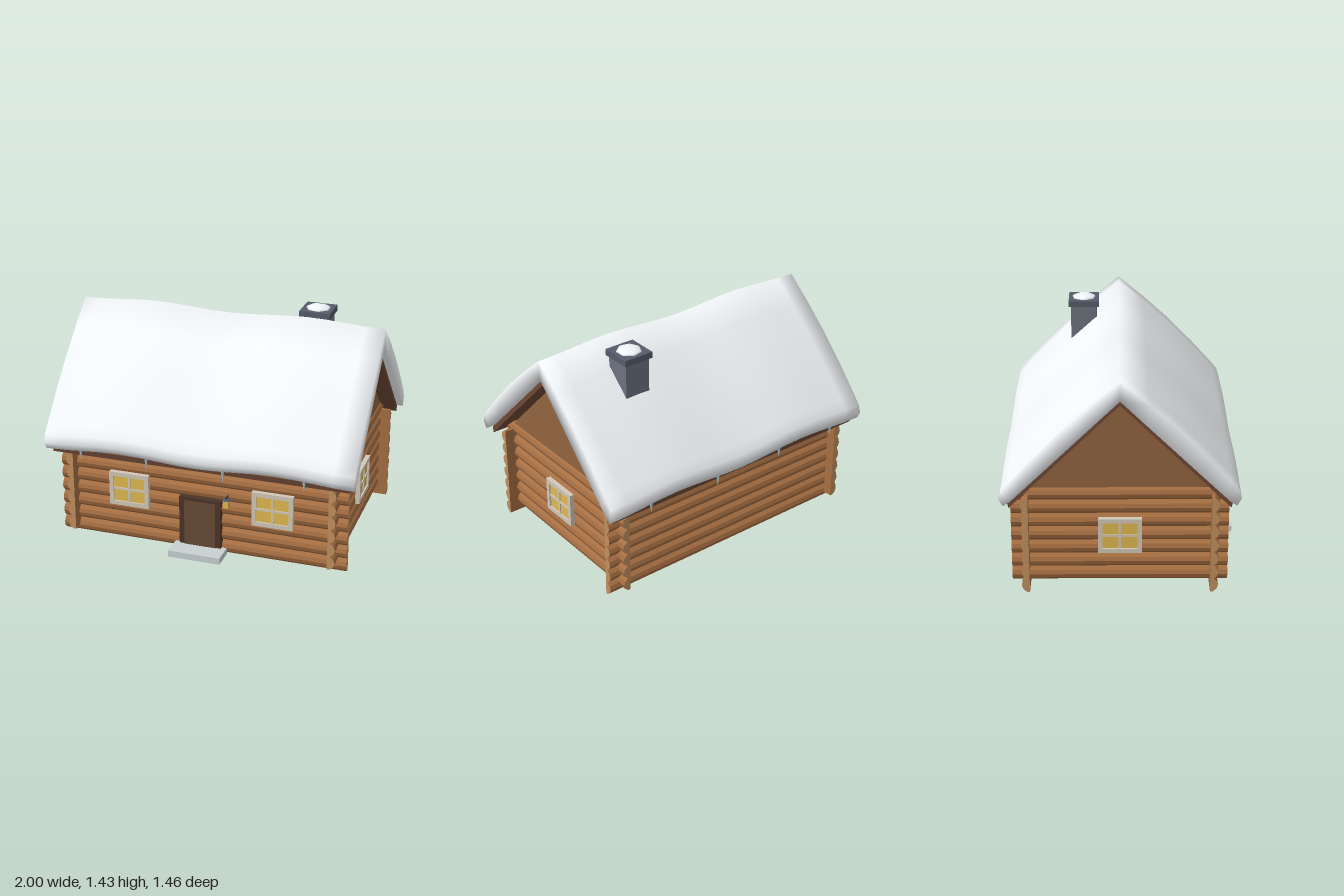
import * as THREE from 'three';

const mat = (color, extra = {}) => new THREE.MeshStandardMaterial({ color, ...extra });
const M = {
  wood: mat(0xa56e42), endGrain: mat(0xc0905f), gable: mat(0x91643f), board: mat(0x6e4834),
  snow: mat(0xf2f5f8), frame: mat(0xd2c8b8), glass: mat(0xe0b850), doorFrame: mat(0x4a3428),
  door: mat(0x684a38), stone: mat(0x6c7280), cap: mat(0x555c6a), step: mat(0xc8d0d2), ice: mat(0x9fc0d0),
};

function add(parent, name, geometry, material, x = 0, y = 0, z = 0) {
  const mesh = new THREE.Mesh(geometry, material);
  mesh.name = name;
  mesh.position.set(x, y, z);
  parent.add(mesh);
  return mesh;
}
const box = (parent, name, w, h, d, material, x, y, z) =>
  add(parent, name, new THREE.BoxGeometry(w, h, d), material, x, y, z);

function extrudePoints(points, depth) {
  const shape = new THREE.Shape(points.map(([x, y]) => new THREE.Vector2(x, y)));
  return new THREE.ExtrudeGeometry(shape, { depth, bevelEnabled: false }).translate(0, 0, -depth / 2);
}

// Log wall: scalloped outside, flat inside, seven logs high
function logWall(parent, name, length, inner, base, angle) {
  const h = 0.09, pts = [[inner, base]];
  for (let i = 0; i < 7; i++) {
    for (const [t, d] of [[0, 0.018], [0.22, 0.04], [0.5, 0.048], [0.78, 0.04]])
      pts.push([inner + d, base + (i + t) * h]);
  }
  pts.push([inner + 0.018, base + 7 * h], [inner, base + 7 * h]);
  add(parent, name, extrudePoints(pts, length), [M.endGrain, M.wood]).rotation.y = angle;
}

// Four-pane window facing +z, origin at its centre on the wall
function makeWindow(name) {
  const g = new THREE.Group(), w = 0.265, h = 0.228, t = 0.028;
  g.name = name;
  box(g, 'glass', w - t, h - t, 0.014, M.glass, 0, 0, 0);
  for (const s of [-1, 1]) {
    box(g, 'frameRail', w, t, 0.03, M.frame, 0, s * (h - t) / 2, 0.003);
    box(g, 'frameStile', t, h - 2 * t, 0.03, M.frame, s * (w - t) / 2, 0, 0.003);
  }
  box(g, 'mullion', 0.015, h - 2 * t, 0.022, M.frame, 0, 0, 0.003);
  box(g, 'crossbar', w - 2 * t, 0.015, 0.022, M.frame, 0, 0, 0.003);
  return g;
}

// Snow blanket: a chevron section swept along x, rising and dipping in two swells
function snowGeometry() {
  const top = [[0, 1.397], [0.17, 1.255], [0.34, 1.1], [0.52, 0.915], [0.655, 0.765], [0.7, 0.71], [0.716, 0.66]];
  const low = [[0, 1.275], [0.16, 1.118], [0.32, 0.961], [0.48, 0.804], [0.61, 0.677], [0.65, 0.638], [0.69, 0.612]];
  const full = (half) => [...half.slice(1).reverse().map(([z, y]) => [-z, y]), ...half];
  const T = full(top), B = full(low), n = T.length;
  const loop = [...T, ...B.reverse()], m = loop.length, segs = 16;
  const pos = [], idx = [];
  for (let i = 0; i <= segs; i++) {
    const x = -1 + 2 * i / segs;
    const swell = 0.0125 * (1 - Math.cos(2 * Math.PI * x));
    for (const [z, y] of loop) pos.push(x, y + swell, z);
  }
  for (let i = 0; i < segs; i++) {
    for (let j = 0; j < m; j++) {
      const a = i * m + j, b = i * m + (j + 1) % m;
      idx.push(a, b, a + m, b, b + m, a + m);
    }
  }
  // End faces share the rim vertices so the edges look soft
  const e = segs * m;
  for (let j = 0; j < n - 1; j++) {
    const p = m - 1 - j;
    idx.push(j, p, j + 1, j + 1, p, p - 1);
    idx.push(e + j, e + j + 1, e + p, e + j + 1, e + p - 1, e + p);
  }
  const g = new THREE.BufferGeometry();
  g.setAttribute('position', new THREE.Float32BufferAttribute(pos, 3));
  g.setIndex(idx);
  g.computeVertexNormals();
  return g;
}

export function createModel() {
  const root = new THREE.Group();
  root.name = 'logCabin';
  const house = new THREE.Group();
  house.name = 'house';
  house.position.z = -0.009;
  root.add(house);

  // Walls, with the long and short ones offset by half a log
  logWall(house, 'frontWall', 1.886, 0.548, 0, -Math.PI / 2);
  logWall(house, 'backWall', 1.886, 0.548, 0, Math.PI / 2);
  logWall(house, 'leftWall', 1.312, 0.836, 0.043, 0);
  logWall(house, 'rightWall', 1.312, 0.836, 0.043, Math.PI);

  // Gables
  for (const s of [-1, 1]) {
    const g = extrudePoints([[-0.548, 0.672], [0.548, 0.672], [0, 1.222]], 0.03).rotateY(Math.PI / 2);
    add(house, 'gable', g, M.gable, s * 0.857, 0, 0);
  }

  // Roof boards and snow
  const boards = extrudePoints([[0, 1.274], [-0.668, 0.62], [-0.66, 0.582], [0, 1.236], [0.66, 0.582], [0.668, 0.62]], 1.93);
  add(house, 'roofBoards', boards.rotateY(Math.PI / 2), M.board);
  add(house, 'roofSnow', snowGeometry(), M.snow);

  // Icicles along both eaves
  const icicles = [[-0.77, 0.085], [-0.33, 0.085], [0.17, 0.105], [0.685, 0.085]];
  for (const s of [-1, 1]) {
    for (const [x, len] of icicles) {
      const cone = new THREE.ConeGeometry(0.013, len, 6).rotateX(Math.PI);
      add(house, 'icicle', cone, M.ice, x, 0.637 - len / 2, s * 0.672);
    }
  }

  // Windows
  const places = [[-0.473, 0.604, 0], [0.473, 0.604, 0], [0.892, 0, Math.PI / 2], [-0.892, 0, -Math.PI / 2]];
  for (const [x, z, turn] of places) {
    const w = makeWindow('window');
    w.position.set(x, 0.362, z);
    w.rotation.y = turn;
    house.add(w);
  }

  // Door and step
  box(house, 'doorFrame', 0.275, 0.37, 0.04, M.doorFrame, 0, 0.185, 0.594);
  box(house, 'door', 0.205, 0.345, 0.04, M.door, 0, 0.175, 0.6);
  box(house, 'doorStep', 0.34, 0.043, 0.15, M.step, 0, 0.0215, 0.664);

  // Lantern beside the door
  box(house, 'lanternBracket', 0.012, 0.012, 0.05, M.doorFrame, 0.178, 0.408, 0.605);
  box(house, 'lanternGlass', 0.033, 0.05, 0.033, M.glass, 0.178, 0.37, 0.62);
  const hood = new THREE.ConeGeometry(0.033, 0.018, 4).rotateY(Math.PI / 4);
  add(house, 'lanternHood', hood, M.cap, 0.178, 0.403, 0.62);

  // Chimney
  const cx = 0.512, cz = -0.232;
  box(house, 'chimneyShaft', 0.17, 0.32, 0.17, M.stone, cx, 1.22, cz);
  box(house, 'chimneyCap', 0.2, 0.04, 0.2, M.cap, cx, 1.388, cz);
  const blob = new THREE.SphereGeometry(0.082, 7, 6).scale(1, 0.3, 1);
  add(house, 'chimneySnow', blob, M.snow, cx, 1.405, cz);
  return root;
}
